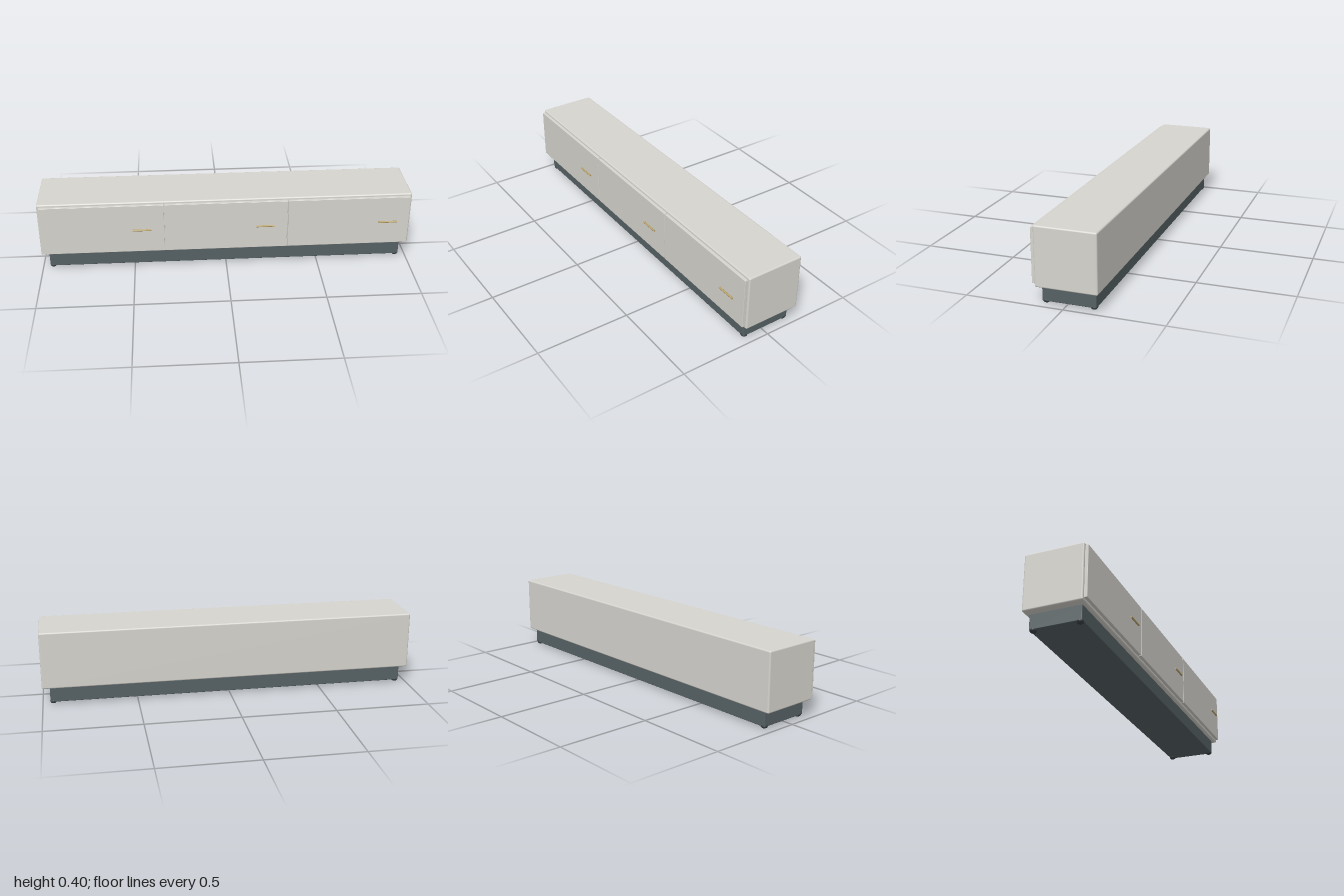
import * as THREE from 'three';
import { RoundedBoxGeometry } from 'three/addons/geometries/RoundedBoxGeometry.js';

const paint = new THREE.MeshStandardMaterial({ color: 0xd6d4ce });
const plinthGrey = new THREE.MeshStandardMaterial({ color: 0x566164 });
const footGrey = new THREE.MeshStandardMaterial({ color: 0x3a4143 });
const brass = new THREE.MeshStandardMaterial({ color: 0xb9a36b });

// Rounded box given by its minimum and maximum corners
function box(name, min, max, radius, material) {
  const size = max.map((v, i) => v - min[i]);
  const mesh = new THREE.Mesh(new RoundedBoxGeometry(...size, 3, radius), material);
  mesh.position.set(...max.map((v, i) => (v + min[i]) / 2));
  mesh.name = name;
  return mesh;
}

export function createModel() {
  const model = new THREE.Group();
  model.name = 'lowCabinet';

  // Carcass and recessed plinth
  model.add(box('carcass', [-1, 0.094, -0.174], [1, 0.4, 0.14], 0.008, paint));
  model.add(box('plinth', [-0.96, 0.012, -0.152], [0.96, 0.094, 0.12], 0.003, plinthGrey));

  // Three fronts, each with a slim bar handle towards its +x edge
  const pitch = 0.661;
  const handleGeometry = new THREE.CylinderGeometry(0.005, 0.005, 0.1, 20).rotateZ(Math.PI / 2);
  for (let i = -1; i <= 1; i++) {
    const x = i * pitch;
    const door = new THREE.Group();
    door.name = 'door';
    door.add(box('doorPanel', [x - 0.328, 0.108, 0.139], [x + 0.328, 0.388, 0.157], 0.002, paint));
    const handle = new THREE.Mesh(handleGeometry, brass);
    handle.name = 'handle';
    handle.position.set(x + 0.21, 0.247, 0.171);
    door.add(handle);
    model.add(door);
  }

  // Flattened ball feet at the plinth corners
  const footGeometry = new THREE.SphereGeometry(0.018, 24, 16).scale(1, 0.75, 1);
  for (const x of [-0.944, 0.944]) {
    for (const z of [-0.136, 0.104]) {
      const foot = new THREE.Mesh(footGeometry, footGrey);
      foot.name = 'foot';
      foot.position.set(x, 0.0135, z);
      model.add(foot);
    }
  }
  return model;
}
